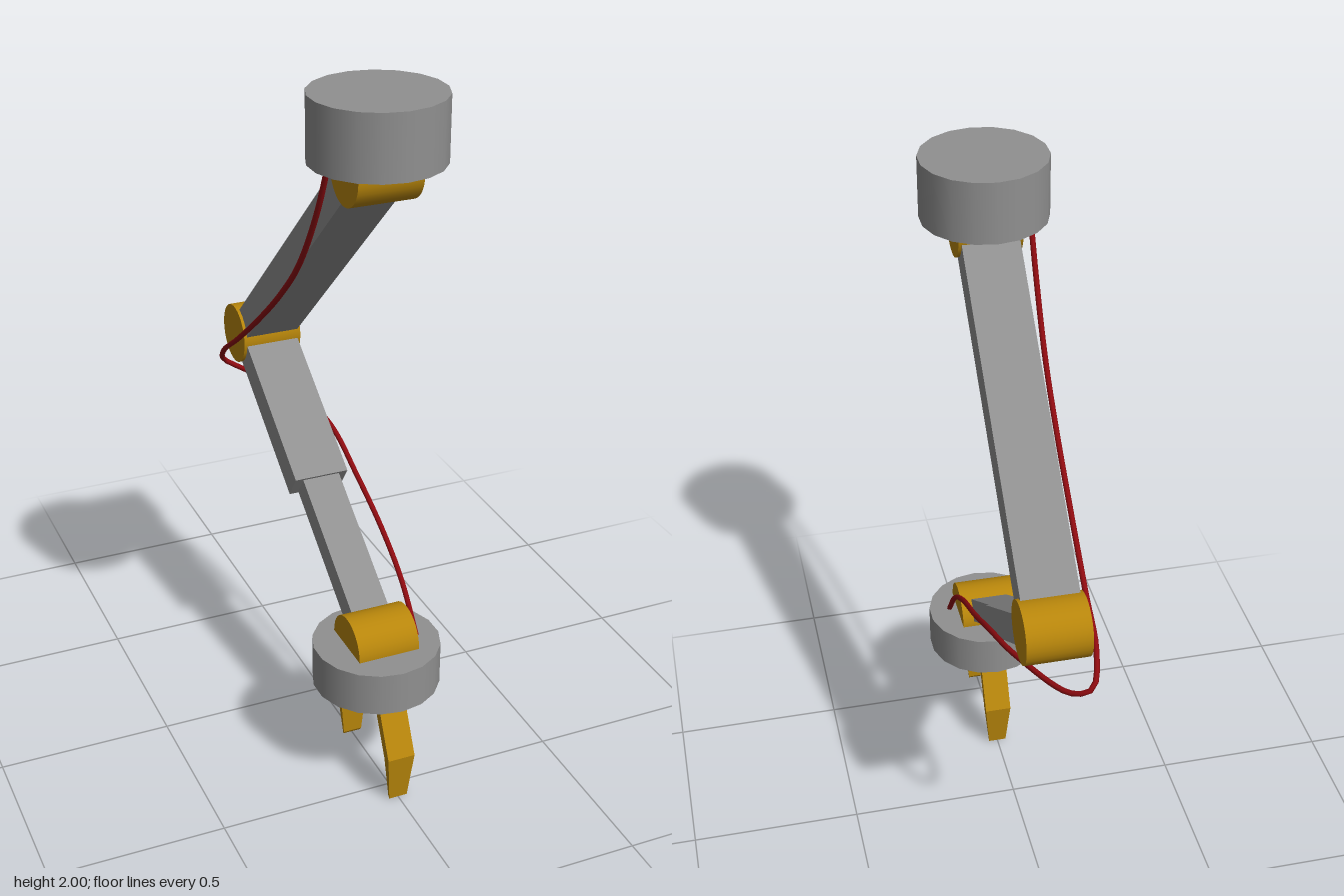
import * as THREE from 'three';

const grey = new THREE.MeshStandardMaterial({ color: 0x909090 });
const gold = new THREE.MeshStandardMaterial({ color: 0xb8860b });
const red = new THREE.MeshStandardMaterial({ color: 0x8f0b10 });

// Joint centres
const SHOULDER = new THREE.Vector3(0, 1.803, 0.358);
const ELBOW = new THREE.Vector3(0, 1.025, -0.463);
const WRIST = new THREE.Vector3(0, 0.43, 0.399);

function add(parent, name, geometry, material) {
  const mesh = new THREE.Mesh(geometry, material);
  mesh.name = name;
  parent.add(mesh);
  return mesh;
}

// Upright disc between two heights
function disc(parent, name, y0, y1, z) {
  const mesh = add(parent, name, new THREE.CylinderGeometry(0.18, 0.18, y1 - y0, 18), grey);
  mesh.position.set(0, (y0 + y1) / 2, z);
}

// Pivot drum lying along x
function joint(parent, name, centre) {
  const geometry = new THREE.CylinderGeometry(0.089, 0.089, 0.18, 32).rotateZ(Math.PI / 2);
  add(parent, name, geometry, gold).position.copy(centre);
}

// Rectangular bar running from a to b
function beam(parent, name, a, b, width, thickness) {
  const mesh = add(parent, name, new THREE.BoxGeometry(width, thickness, a.distanceTo(b)), grey);
  mesh.position.lerpVectors(a, b, 0.5);
  mesh.lookAt(b);
}

// Bent claw, narrowing towards the tip
function fingerGeometry() {
  const outline = [
    [0.08, 0.285], [0.152, 0.14], [0.157, 0.009], [0.163, 0], [0.18, 0.145], [0.106, 0.295],
  ].map(([z, y]) => new THREE.Vector2(z, y));
  const geometry = new THREE.ExtrudeGeometry(new THREE.Shape(outline), { depth: 1, bevelEnabled: false });
  geometry.translate(0, 0, -0.5).rotateY(-Math.PI / 2);
  const p = geometry.attributes.position;
  for (let i = 0; i < p.count; i++) {
    const width = THREE.MathUtils.mapLinear(Math.min(p.getY(i), 0.14), 0, 0.14, 0.054, 0.08);
    p.setX(i, p.getX(i) * width);
  }
  geometry.computeVertexNormals();
  return geometry;
}

export function createModel() {
  const model = new THREE.Group();
  model.name = 'roboticArm';

  // Ceiling mount and pivots
  disc(model, 'ceilingMount', 1.823, 2, 0.358);
  joint(model, 'shoulderJoint', SHOULDER);
  joint(model, 'elbowJoint', ELBOW);
  joint(model, 'wristJoint', WRIST);

  // Upper arm and telescoping forearm
  beam(model, 'upperArm', SHOULDER, ELBOW, 0.162, 0.09);
  const sleeveEnd = ELBOW.clone().lerp(WRIST, 0.516);
  beam(model, 'forearmSleeve', ELBOW, sleeveEnd, 0.162, 0.085);
  beam(model, 'forearmRod', ELBOW, WRIST, 0.112, 0.07);

  // Gripper head with a chamfered hub and flat cap below
  disc(model, 'gripperDisc', 0.305, 0.43, WRIST.z);
  const hubProfile = [[0.076, 0.233], [0.09, 0.241], [0.104, 0.268], [0.115, 0.31]];
  const hub = add(model, 'gripperHub', new THREE.LatheGeometry(
    hubProfile.map(([r, y]) => new THREE.Vector2(r, y)), 18), grey);
  hub.position.z = WRIST.z;
  const cap = add(model, 'hubCap', new THREE.CylinderGeometry(0.076, 0.076, 0.02, 18), grey);
  cap.position.set(0, 0.243, WRIST.z);

  // Two opposed fingers
  const finger = fingerGeometry();
  for (const [name, turn] of [['frontFinger', 0], ['backFinger', Math.PI]]) {
    const mesh = add(model, name, finger, gold);
    mesh.position.z = WRIST.z;
    mesh.rotation.y = turn;
  }

  // Cable crossing behind the elbow from right to left
  const path = [
    [-0.125, 1.84, 0.35], [-0.125, 1.67, 0.27], [-0.122, 1.48, 0.14], [-0.12, 1.34, 0],
    [-0.118, 1.19, -0.18], [-0.115, 1.05, -0.366], [-0.112, 0.955, -0.5], [-0.085, 0.888, -0.57],
    [-0.035, 0.86, -0.545], [0.07, 0.843, -0.34], [0.106, 0.81, -0.18], [0.114, 0.727, 0],
    [0.114, 0.637, 0.19], [0.114, 0.546, 0.32], [0.114, 0.42, 0.425],
  ].map((p) => new THREE.Vector3(...p));
  add(model, 'cable', new THREE.TubeGeometry(new THREE.CatmullRomCurve3(path), 90, 0.008, 8), red);

  return model;
}
